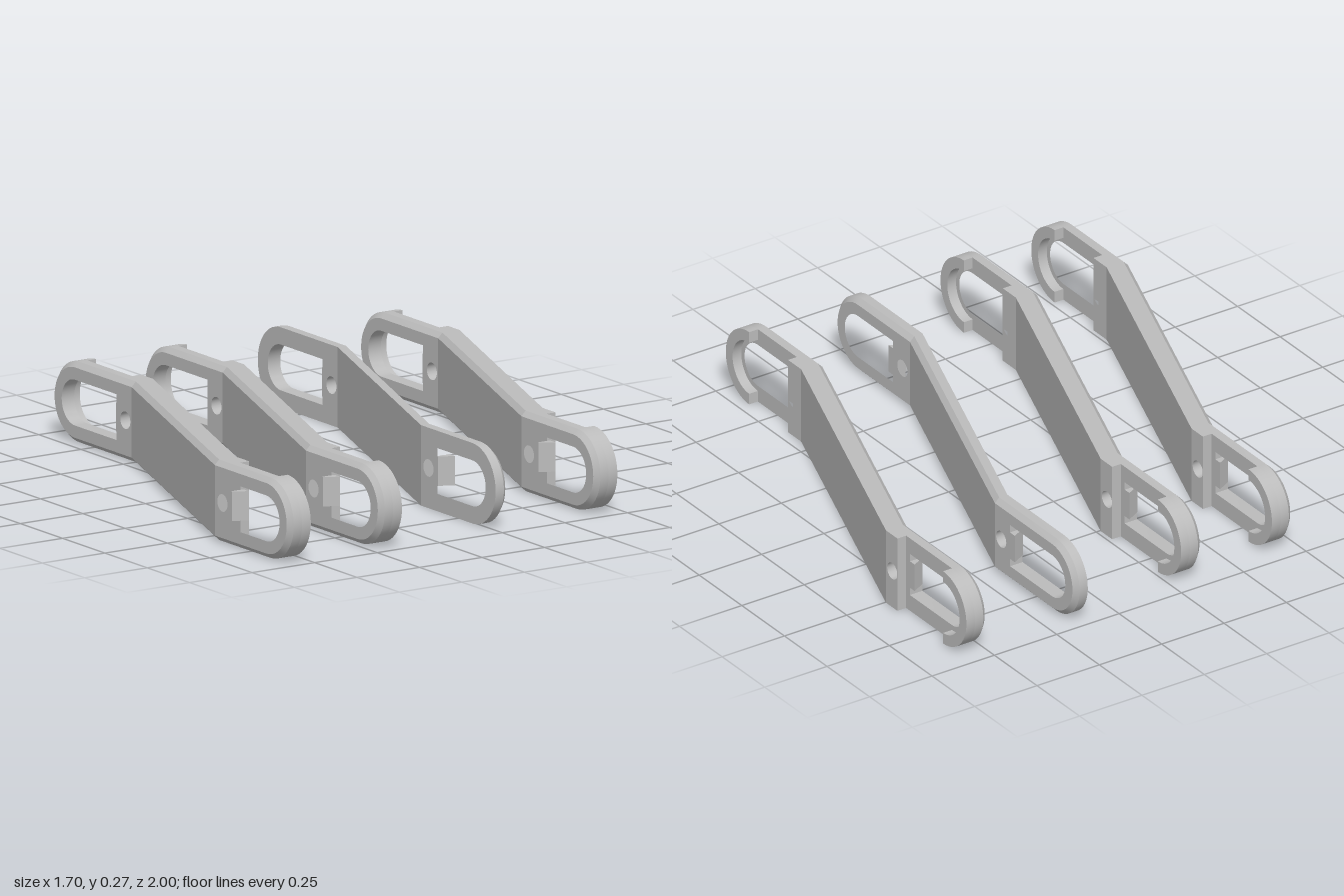
import * as THREE from 'three';
import { toCreasedNormals } from 'three/addons/utils/BufferGeometryUtils.js';

const H = 0.274, R = H / 2, MID = H / 2;
const PLATE = 0.05, FULL = 0.085, CHAMFER = 0.017, SHIFT = 0.385;
const SLOT_R = 0.078, PAD_R = 0.097, HOLE_R = 0.03;

// Distances from the middle along the link; dir is the sign of s, where s = -z
const ENDS = [
  { name: 'front', dir: -1, bend: 0.558, hole: 0.603, block: 0.635, slot: 0.657, centre: 0.863, x: 0 },
  { name: 'back', dir: 1, bend: 0.503, hole: 0.54, block: 0.57, slot: 0.592, centre: 0.838, x: SHIFT },
];

// Half circle of points from bottom to top, bulging outwards
function arc(centre, r, n = 24) {
  return Array.from({ length: n + 1 }, (_, i) => {
    const a = -Math.PI / 2 + (Math.PI * i) / n;
    return [centre + r * Math.cos(a), MID + r * Math.sin(a)];
  });
}

function circle(centre, r, n = 20) {
  return Array.from({ length: n }, (_, i) => {
    const a = (2 * Math.PI * i) / n;
    return [centre + r * Math.cos(a), MID + r * Math.sin(a)];
  });
}

const toPoints = (pts, dir) => pts.map(([u, y]) => new THREE.Vector2(dir * u, y));

// Extrudes an outline from x0 to x1; chamfer is -1 or 1 for the face whose rim is cut, 0 for none
function slab(outline, holes, dir, x0, x1, chamfer, offset) {
  const shape = new THREE.Shape(toPoints(outline, dir));
  holes.forEach((h) => shape.holes.push(new THREE.Path(toPoints(h, dir))));
  const depth = x1 - x0;
  const geo = new THREE.ExtrudeGeometry(shape, { depth, steps: chamfer ? 2 : 1, bevelEnabled: false });
  const p = geo.attributes.position;
  for (let i = 0; i < p.count; i++) {
    let s = p.getX(i), y = p.getY(i), d = p.getZ(i);
    if (chamfer) {
      const face = chamfer < 0 ? 0 : depth;
      if (Math.abs(d - depth / 2) < 1e-4) {
        d = face - chamfer * CHAMFER;
      } else if (Math.abs(d - face) < 1e-4) {
        // pull only the outer rim towards the spine
        const cs = THREE.MathUtils.clamp(s, -ENDS[0].centre, ENDS[1].centre);
        const dist = Math.hypot(s - cs, y - MID);
        if (dist > R - 0.002) {
          const k = (dist - CHAMFER) / dist;
          s = cs + (s - cs) * k;
          y = MID + (y - MID) * k;
        }
      }
    }
    p.setXYZ(i, x0 + d + offset(s), y, -s);
  }
  return toCreasedNormals(geo, 0.5);
}

// Ramp-shaped tongue at the inner end of a slot
function tongue(end) {
  const len = 0.032;
  const geo = new THREE.BoxGeometry(PLATE, 0.1, len).toNonIndexed();
  const p = geo.attributes.position;
  for (let i = 0; i < p.count; i++) {
    const outer = p.getZ(i) * -end.dir > 0;
    if (outer && p.getX(i) < 0) p.setZ(i, -end.dir * (0.006 - len / 2));
  }
  geo.translate(end.x + PLATE / 2, MID, -end.dir * (end.slot - 0.004 + len / 2));
  geo.computeVertexNormals();
  return geo;
}

// One cranked link: sloping middle, slotted round ends and optional raised pads
function makeLink(name, material, raised) {
  const link = new THREE.Group();
  link.name = name;
  const add = (part, geo) => {
    const mesh = new THREE.Mesh(geo, material);
    mesh.name = part;
    link.add(mesh);
  };
  const side = raised ? -1 : 1;

  // Sloping middle bar
  const [f, b] = ENDS;
  const slope = (s) => (SHIFT * (s + f.bend)) / (f.bend + b.bend);
  const bar = [[-f.bend, 0], [b.bend, 0], [b.bend, H], [-f.bend, H]];
  add('middleBar', slab(bar, [], 1, 0, raised ? FULL : PLATE, side, slope));

  for (const e of ENDS) {
    const at = () => e.x;
    const bolt = circle(e.hole, HOLE_R);

    // Round end plate with slot and bolt hole
    const outline = [[e.bend, 0], ...arc(e.centre, R), [e.bend, H]];
    const slot = [[e.slot, MID - SLOT_R], ...arc(e.centre, SLOT_R), [e.slot, MID + SLOT_R]];
    add(e.name + 'EndPlate', slab(outline, [slot, bolt], e.dir, 0, PLATE, side, at));
    add(e.name + 'Tongue', tongue(e));

    if (raised) {
      // Thick block around the bolt hole
      const block = [[e.bend, 0], [e.block, 0], [e.block, H], [e.bend, H]];
      add(e.name + 'Block', slab(block, [bolt], e.dir, PLATE, FULL, 0, at));
      // Half-ring rim around the tip
      const rim = [...arc(e.centre, R), ...arc(e.centre, PAD_R).reverse()];
      add(e.name + 'Rim', slab(rim, [], e.dir, PLATE, FULL, 0, at));
    }
  }
  return link;
}

export function createModel() {
  const grey = new THREE.MeshStandardMaterial({ color: 0xbcbcbc });
  grey.name = 'grey';
  const model = new THREE.Group();
  model.name = 'linkSet';

  // Three links with raised rims
  [-0.85, -0.486, 0.375].forEach((x, i) => {
    const link = makeLink('rimmedLink' + (i + 1), grey, true);
    link.position.x = x;
    model.add(link);
  });

  // Thin plain link
  const plain = makeLink('plainLink', grey, false);
  plain.position.set(-0.009, 0, -0.026);
  model.add(plain);
  return model;
}
